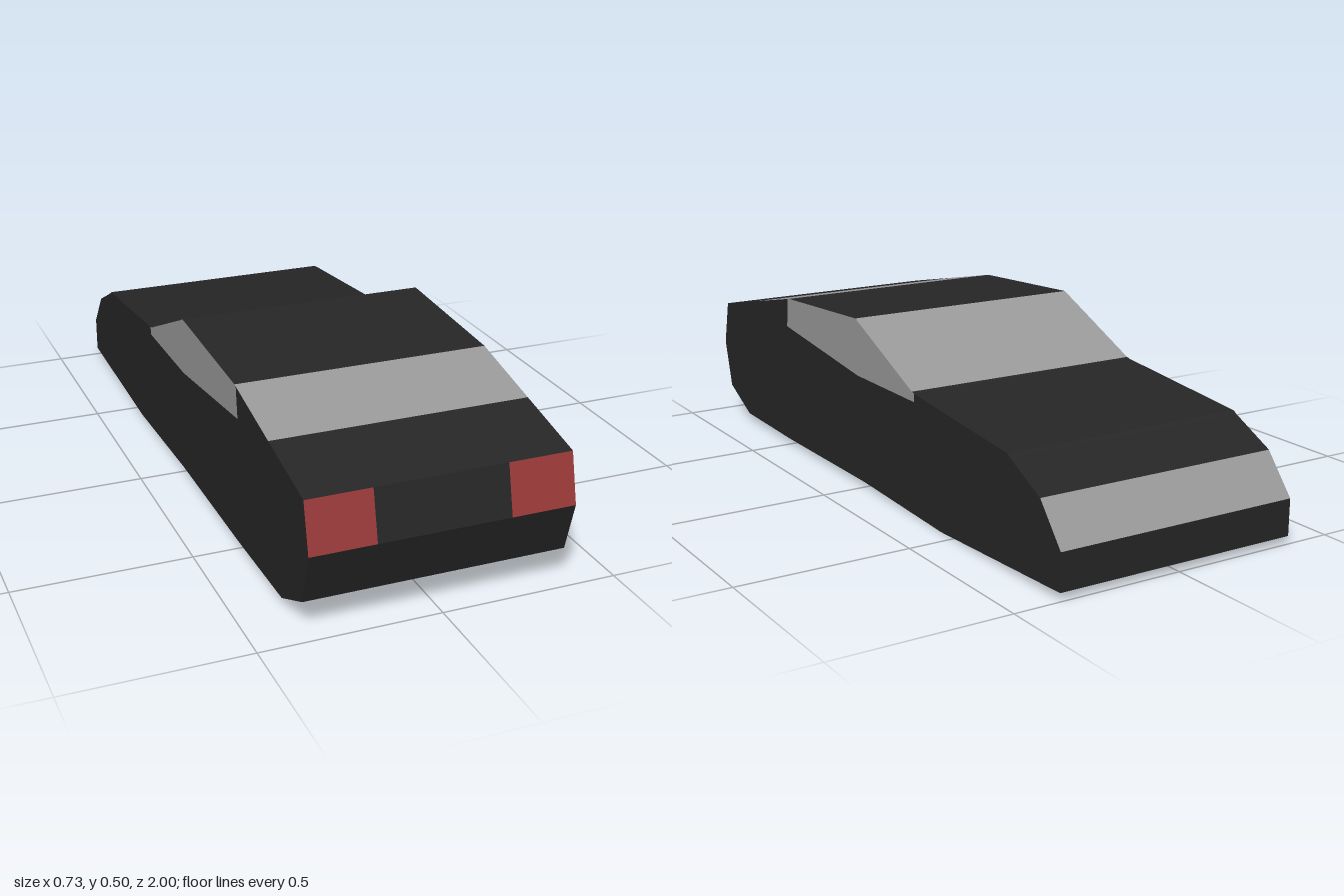
import * as THREE from 'three';

const W = 0.367; // half width

export function createModel() {
  const paint = new THREE.MeshStandardMaterial({ color: 0x262626 });
  paint.name = 'darkPaint';
  const glass = new THREE.MeshStandardMaterial({ color: 0x999999 });
  glass.name = 'greyGlass';
  const red = new THREE.MeshStandardMaterial({ color: 0x9c3a3a });
  red.name = 'redLight';

  const car = new THREE.Group();
  car.name = 'car';

  const add = (name, geometry, material) => {
    const mesh = new THREE.Mesh(geometry, material);
    mesh.name = name;
    car.add(mesh);
  };

  // Flat-faced skin across the width, following [z, y] points
  const panel = (name, material, points, x0 = -W, x1 = W) => {
    const pos = [];
    for (let i = 0; i + 1 < points.length; i++) {
      const [[za, ya], [zb, yb]] = [points[i], points[i + 1]];
      pos.push(x0, ya, za, x1, ya, za, x1, yb, zb);
      pos.push(x0, ya, za, x1, yb, zb, x0, yb, zb);
    }
    const g = new THREE.BufferGeometry();
    g.setAttribute('position', new THREE.Float32BufferAttribute(pos, 3));
    g.computeVertexNormals();
    add(name, g, material);
  };

  // Flat side face on both sides, from a [z, y] outline
  const sides = (name, material, outline) => {
    for (const s of [1, -1]) {
      const shape = new THREE.Shape(outline.map(([z, y]) => new THREE.Vector2(-s * z, y)));
      const g = new THREE.ShapeGeometry(shape);
      g.rotateY(s * Math.PI / 2);
      g.translate(s * W, 0, 0);
      add((s > 0 ? 'left' : 'right') + name, g, material);
    }
  };

  // Profile sections, clockwise from the lower front edge
  const lowerFront = [[0.82, 0.025], [0.96, 0.092], [1, 0.237]];
  const frontTop = [0.967, 0.376];
  const glassLow = [0.73, 0.426];
  const roofBack = [0.48, 0.479];
  const roofFront = [0.037, 0.502];
  const glassFoot = [-0.287, 0.36];
  const pillar = [-0.3, 0.357];
  const bonnet = [[-0.765, 0.313], [-0.775, 0.306], [-0.91, 0.24]];
  const noseLow = [-1, 0.13];
  const underside = [[-1, 0.025], [-0.44, 0.002], [0, 0.018], [0.5, 0.018], [0.82, 0.025]];

  // Body skin
  panel('lowerPanel', paint, lowerFront);
  panel('deck', paint, [frontTop, glassLow]);
  panel('slopedWindow', glass, [glassLow, roofBack]);
  panel('roof', paint, [roofBack, roofFront]);
  panel('windscreen', glass, [roofFront, glassFoot]);
  panel('bonnet', paint, [glassFoot, pillar, ...bonnet]);
  panel('greyNoseStrip', glass, [bonnet[2], noseLow]);
  panel('bumper', paint, [noseLow, underside[0]]);
  panel('underside', paint, underside);

  // Light band: a red lamp at each end, paint between
  const band = [lowerFront[2], frontTop];
  panel('rightLight', red, band, -W, -0.185);
  panel('lightBandCentre', paint, band, -0.185, 0.185);
  panel('leftLight', red, band, 0.185, W);

  // Side windows and the body sides below them
  const sill = [[0.5, 0.388], [0.03, 0.334], [-0.3, 0.333]];
  const windowBack = [0.49, 0.477];
  sides('SideWindow', glass, [windowBack, roofBack, roofFront, glassFoot, pillar, ...[...sill].reverse()]);
  sides('BodySide', paint, [
    ...lowerFront, frontTop, glassLow, windowBack, ...sill, pillar, ...bonnet, noseLow,
    ...underside.slice(0, -1),
  ]);

  return car;
}
